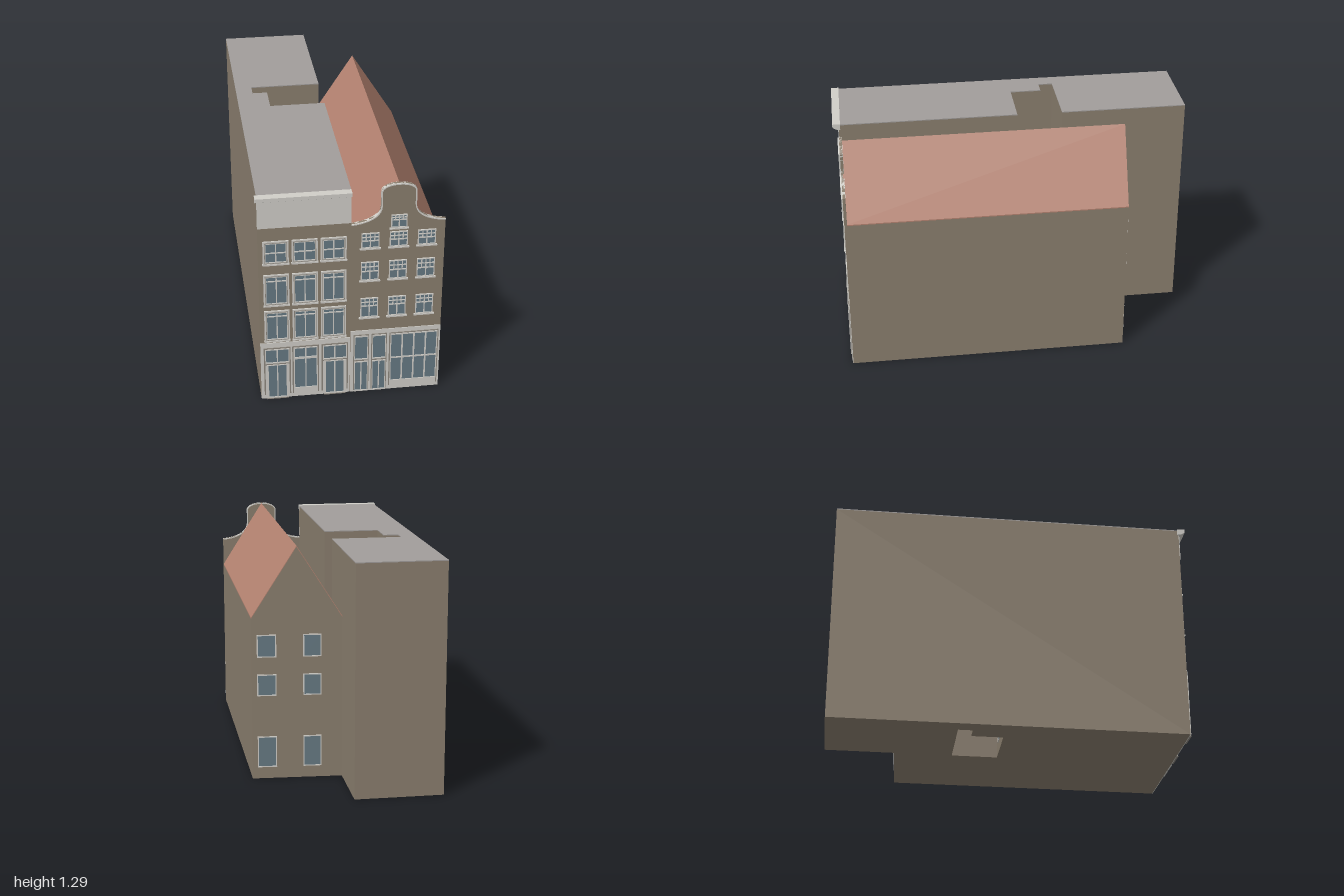
import * as THREE from 'three';

const mat = (name, color) => {
  const m = new THREE.MeshStandardMaterial({ color });
  m.name = name;
  return m;
};

export function createModel() {
  const brick = mat('brick', 0x8a7e6e), stone = mat('pale stone', 0xd0cec8);
  const glass = mat('window glass', 0x667983), tile = mat('clay roof tile', 0xb58371);
  const flat = mat('grey flat roof', 0xa19d9b), joint = mat('moulding joint', 0x8d877e);
  const house = new THREE.Group();
  house.name = 'pairOfTownhouses';
  const FRONT = 0.965, STONE = FRONT + 0.004;

  const add = (parent, name, geo, material) => {
    const m = new THREE.Mesh(geo, material);
    m.name = name;
    parent.add(m);
    return m;
  };
  const group = (name, parent = house) => {
    const g = new THREE.Group();
    g.name = name;
    parent.add(g);
    return g;
  };
  const poly = (pts) => new THREE.Shape(pts.map(([x, y]) => new THREE.Vector2(x, y)));
  const rect = (x0, x1, y0, y1) => [[x0, y0], [x1, y0], [x1, y1], [x0, y1]];
  const extrude = (shape, depth, z = 0) =>
    new THREE.ExtrudeGeometry(shape, { depth, bevelEnabled: false }).translate(0, 0, z);
  const plate = (parent, name, [x0, x1, y0, y1], z, depth, material) => {
    const g = new THREE.BoxGeometry(x1 - x0, y1 - y0, depth);
    g.translate((x0 + x1) / 2, (y0 + y1) / 2, z + depth / 2);
    return add(parent, name, g, material);
  };

  // The plots are slightly skewed, and the rear of the gabled house is slanted
  const skew = (geo, slant = 0) => {
    const p = geo.attributes.position;
    for (let i = 0; i < p.count; i++) {
      const x = p.getX(i), z = p.getZ(i);
      p.setX(i, x + (z - FRONT) * 0.0075);
      if (z < 0) p.setZ(i, z + slant * x);
    }
    geo.computeVertexNormals();
    return geo;
  };

  // Evenly divided panes inside a rectangle
  const grid = (x0, x1, y0, y1, cols, rows, bar = 0.006) => {
    const out = [], w = (x1 - x0 + bar) / cols, h = (y1 - y0 + bar) / rows;
    for (let c = 0; c < cols; c++) for (let r = 0; r < rows; r++) {
      out.push([x0 + c * w, x0 + (c + 1) * w - bar, y0 + r * h, y0 + (r + 1) * h - bar]);
    }
    return out;
  };
  // Frame pierced by panes, with a sheet of glass behind
  const glazed = (parent, name, box, panes, z, depth = 0.007) => {
    const g = group(name, parent), s = poly(rect(...box));
    for (const p of panes) s.holes.push(new THREE.Path(poly(rect(...p)).getPoints()));
    add(g, 'frame', extrude(s, depth, z), stone);
    const e = 0.002;
    plate(g, 'glass', [box[0] + e, box[1] - e, box[2] + e, box[3] - e], z, 0.003, glass);
    return g;
  };
  const outline = (parent, [x0, x1, y0, y1], t, z, depth) => {
    const s = poly(rect(x0, x1, y0, y1));
    s.holes.push(new THREE.Path(poly(rect(x0 + t, x1 - t, y0 + t, y1 - t)).getPoints()));
    add(parent, 'joint', extrude(s, depth, z), joint);
  };
  // Three-sided moulding around an opening
  const surround = (parent, x0, x1, y0, y1, t = 0.007) => {
    plate(parent, 'surroundSide', [x0, x0 + t, y0, y1], STONE, 0.003, joint);
    plate(parent, 'surroundSide', [x1 - t, x1, y0, y1], STONE, 0.003, joint);
    plate(parent, 'surroundTop', [x0, x1, y1 - t, y1], STONE, 0.004, joint);
  };

  // ---- Flat-roofed house with an open courtyard ----
  const flatHouse = group('flatRoofedHouse');
  const plan = (front) => poly([[-0.482, -front], [0, -front], [0, 0.035], [-0.307, 0.035], [-0.307, 0.21],
    [-0.39, 0.21], [-0.39, 0.29], [0, 0.29], [0, 1], [-0.482, 1]]);
  const rise = (shape, y, h) => skew(extrude(shape, h).rotateX(-Math.PI / 2).translate(0, y, 0));
  add(flatHouse, 'walls', rise(plan(FRONT), 0, 1.263), brick);
  add(flatHouse, 'flatRoof', rise(plan(0.96), 1.263, 0.005), flat);
  plate(flatHouse, 'groundFloorFacing', [-0.482, 0, 0, 0.365], FRONT, 0.004, stone);
  plate(flatHouse, 'frieze', [-0.482, 0, 1.078, 1.24], FRONT, 0.004, stone);
  const cornice = poly([[0.957, 1.235], [0.972, 1.235], [0.985, 1.241], [1, 1.25], [1, 1.27], [0.957, 1.27]]);
  add(flatHouse, 'cornice', extrude(cornice, 0.492).rotateY(-Math.PI / 2), stone);

  // Upper windows: two lights under a transom
  for (const cx of [-0.39, -0.24, -0.09]) {
    for (const [y0, y1, split] of [[0.86, 1.0, 0.93], [0.605, 0.797, 0.757], [0.378, 0.572, 0.537]]) {
      const a = cx - 0.052, b = cx + 0.052;
      const panes = [...grid(a, b, y0 + 0.016, split - 0.003, 2, 1), ...grid(a, b, split + 0.003, y1 - 0.016, 2, 1)];
      const w = glazed(flatHouse, 'upperWindow', [cx - 0.067, cx + 0.067, y0, y1], panes, FRONT);
      outline(w, [cx - 0.059, cx + 0.059, y0 + 0.008, y1 - 0.008], 0.003, FRONT + 0.006, 0.002);
      plate(w, 'sill', [cx - 0.07, cx + 0.07, y0 - 0.004, y0 + 0.005], FRONT, 0.01, stone);
    }
  }
  // Two double doors with overlights, and a shop window between them
  for (const cx of [-0.393, -0.083]) {
    surround(flatHouse, cx - 0.072, cx + 0.072, 0.025, 0.335);
    glazed(flatHouse, 'overlight', [cx - 0.065, cx + 0.065, 0.235, 0.328],
      grid(cx - 0.06, cx + 0.06, 0.242, 0.322, 2, 1), STONE);
    plate(flatHouse, 'doorLintel', [cx - 0.065, cx + 0.065, 0.226, 0.234], STONE, 0.004, joint);
    glazed(flatHouse, 'doubleDoor', [cx - 0.058, cx + 0.058, 0.004, 0.226],
      grid(cx - 0.048, cx + 0.048, 0.012, 0.221, 2, 1), STONE);
    plate(flatHouse, 'doorstep', [cx - 0.058, cx + 0.058, 0, 0.005], STONE, 0.009, joint);
  }
  surround(flatHouse, -0.312, -0.168, 0.025, 0.335);
  glazed(flatHouse, 'shopWindow', [-0.304, -0.176, 0.055, 0.328],
    [...grid(-0.299, -0.181, 0.265, 0.322, 2, 1), ...grid(-0.299, -0.181, 0.063, 0.252, 2, 1)], STONE);

  // ---- Gabled house ----
  const gabled = group('gabledHouse');
  const W = 0.49, EAVE = 0.9, RIDGE = 1.285, MID = W / 2, LEN = 0.955 + 0.615;
  const section = poly([[0, 0], [W, 0], [W, EAVE], [MID, RIDGE], [0, EAVE]]);
  add(gabled, 'walls', skew(extrude(section, LEN, -0.615), 0.05), brick);
  const slopes = poly([[0, EAVE], [MID, RIDGE], [W, EAVE], [W, EAVE + 0.006], [MID, RIDGE + 0.006], [0, EAVE + 0.006]]);
  add(gabled, 'tiledRoof', skew(extrude(slopes, LEN, -0.615), 0.05), tile);

  // Bell-shaped front gable with a pale coping
  const half = new THREE.Path();
  half.moveTo(0, 1.068);
  half.bezierCurveTo(0.09, 1.075, 0.154, 1.11, 0.154, 1.165);
  half.lineTo(0.154, 1.255);
  half.bezierCurveTo(0.166, 1.28, 0.2, 1.292, MID, 1.292);
  const left = half.getPoints(10).map((p) => [p.x, p.y]);
  const crown = [...left, ...left.slice(0, -1).reverse().map(([x, y]) => [W - x, y])];
  add(gabled, 'frontGable', extrude(poly([[0, 0], ...crown, [W, 0]].reverse()), 0.015, 0.95), brick);
  const inner = crown.map(([x, y], i) => {
    const a = crown[Math.max(i - 1, 0)], b = crown[Math.min(i + 1, crown.length - 1)];
    const dx = b[0] - a[0], dy = b[1] - a[1], l = Math.hypot(dx, dy);
    return [x + dy / l * 0.006, y - dx / l * 0.006];
  });
  add(gabled, 'gableCoping', extrude(poly([...crown, ...inner.reverse()]), 0.024, 0.949), stone);
  plate(gabled, 'groundFloorFacing', [0.002, W, 0, 0.402], FRONT, 0.004, stone);

  // Sash windows: small panes above, two tall panes below
  const sash = (cx, y0, y1, w, cut) => {
    const a = cx - w + 0.005, b = cx + w - 0.005;
    const panes = [...grid(a, b, y0 + 0.006, cut - 0.003, 2, 1), ...grid(a, b, cut + 0.003, y1 - 0.005, 4, 2, 0.005)];
    const g = glazed(gabled, 'sashWindow', [cx - w, cx + w, y0, y1], panes, FRONT);
    plate(g, 'sill', [cx - w - 0.008, cx + w + 0.008, y0 - 0.008, y0], FRONT, 0.01, stone);
  };
  for (const cx of [0.1, 0.248, 0.395]) {
    sash(cx, 0.92, 1.01, 0.047, 0.964);
    sash(cx, 0.722, 0.835, 0.047, 0.778);
    sash(cx, 0.488, 0.61, 0.047, 0.56);
  }
  sash(0.248, 1.033, 1.11, 0.042, 1.08);

  // Narrow doors with overlights, and the wide shop window
  for (const cx of [0.06, 0.157]) {
    surround(gabled, cx - 0.042, cx + 0.042, 0.01, 0.377, 0.005);
    glazed(gabled, 'overlight', [cx - 0.037, cx + 0.037, 0.215, 0.372],
      grid(cx - 0.033, cx + 0.033, 0.222, 0.364, 1, 1), STONE);
    plate(gabled, 'doorLintel', [cx - 0.037, cx + 0.037, 0.205, 0.213], STONE, 0.004, joint);
    glazed(gabled, 'door', [cx - 0.037, cx + 0.037, 0.004, 0.204],
      grid(cx - 0.033, cx + 0.033, 0.012, 0.198, 2, 1), STONE);
  }
  surround(gabled, 0.212, 0.48, 0.025, 0.377, 0.006);
  glazed(gabled, 'wideShopWindow', [0.218, 0.474, 0.055, 0.371],
    grid(0.223, 0.469, 0.063, 0.364, 4, 2, 0.008), STONE);

  // ---- Plain rear windows, built facing +z and turned round ----
  const rear = (name, z, turn, columns, rows) => {
    const g = group(name);
    g.position.z = z;
    g.rotation.y = turn;
    for (const [x0, x1] of columns) for (const [y0, y1] of rows) {
      const e = 0.006;
      glazed(g, 'rearWindow', [-x1, -x0, y0, y1], [[-x1 + e, -x0 - e, y0 + e, y1 - e]], 0, 0.005);
    }
  };
  const tall = [[0.92, 1.04], [0.68, 0.81], [0.455, 0.585], [0.06, 0.25]];
  rear('flatHouseRearWindows', -0.994, Math.PI, [[-0.145, -0.035], [-0.36, -0.25]], tall);
  rear('courtyardWindows', -0.035, Math.PI, [[-0.19, -0.08]], tall);
  rear('gabledHouseRearWindows', -0.615, Math.PI - 0.05, [[0.1, 0.2], [0.345, 0.45]],
    [[0.685, 0.81], [0.47, 0.59], [0.065, 0.24]]);
  return house;
}
